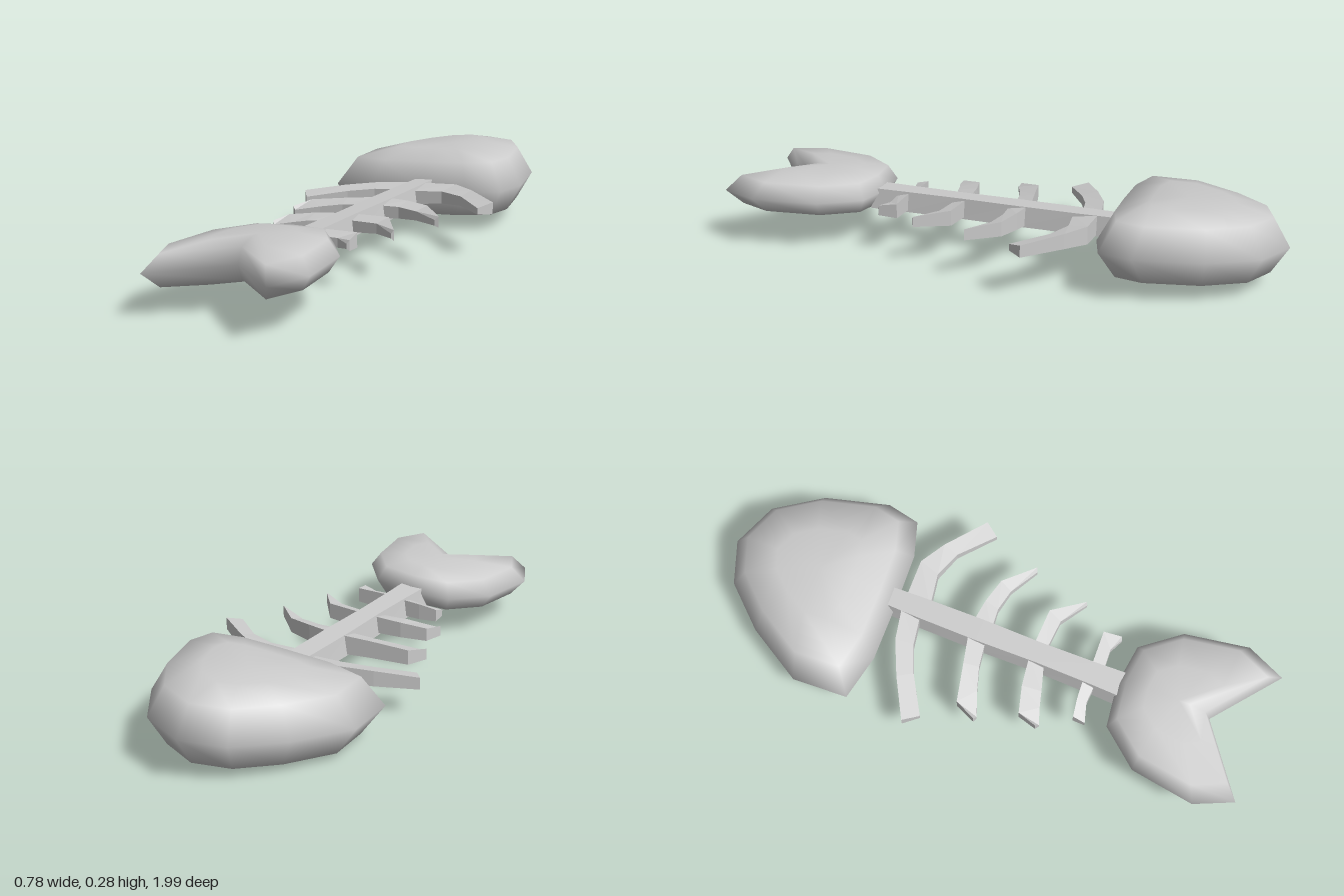
import * as THREE from 'three';

const ROLL = 0.075; // the whole skeleton leans a little to one side

// Skins a series of closed rings of [x, y, z] points and caps both ends
function loft(rings, name, flat) {
  const n = rings[0].length, pos = [], idx = [];
  const add = ([x, y, z]) => pos.push(x, y + ROLL * x, z);
  rings.forEach(r => r.forEach(add));
  for (let i = 0; i < rings.length - 1; i++) {
    for (let j = 0; j < n; j++) {
      const a = i * n + j, b = i * n + (j + 1) % n;
      idx.push(a, b, a + n, b, b + n, a + n);
    }
  }
  [0, rings.length - 1].forEach((i, end) => {
    const c = pos.length / 3;
    add([0, 1, 2].map(k => rings[i].reduce((s, p) => s + p[k], 0) / n));
    for (let j = 0; j < n; j++) {
      const a = i * n + j, b = i * n + (j + 1) % n;
      if (end) idx.push(a, b, c); else idx.push(b, a, c);
    }
  });
  const geo = new THREE.BufferGeometry();
  geo.setAttribute('position', new THREE.Float32BufferAttribute(pos, 3));
  geo.setIndex(idx);
  geo.computeVertexNormals();
  const mesh = new THREE.Mesh(geo, new THREE.MeshStandardMaterial({ color: 0xcccccc, flatShading: flat }));
  mesh.name = name;
  return mesh;
}

// Pillow-like solid: an [x, z] outline shrunk towards its centre above and below
function pillow(name, outline, [cx, cy, cz], layers) {
  return loft(layers.map(([s, h]) =>
    outline.map(([x, z]) => [cx + (x - cx) * s, cy + h, cz + (z - cz) * s])), name, false);
}

// Rib: stations of [distance from spine, back z, front z, bottom y, top y]
function rib(name, side, stations) {
  return loft(stations.map(([xb, zb, xf, zf, y0, y1]) => {
    const ring = [[side * xb, y0, zb], [side * xb, y1, zb], [side * xf, y1 - 0.012, zf], [side * xf, y0 + 0.008, zf]];
    return side > 0 ? ring : ring.reverse();
  }), name, true);
}

export function createModel() {
  const group = new THREE.Group();
  group.name = 'fishSkeleton';

  // Head
  group.add(pillow('head', [
    [0, -1], [0.16, -0.935], [0.27, -0.77], [0.33, -0.54], [0.305, -0.42], [0.18, -0.38],
    [0, -0.37], [-0.22, -0.365], [-0.385, -0.4], [-0.395, -0.6], [-0.28, -0.8], [-0.15, -0.945],
  ], [-0.03, 0.147, -0.66], [[0.45, 0.13], [0.82, 0.1], [1, 0], [0.82, -0.1], [0.45, -0.13]]));

  // Forked tail fin
  group.add(pillow('tail', [
    [0, 0.465], [0.15, 0.485], [0.255, 0.62], [0.292, 0.85], [0.23, 0.99],
    [0, 0.805], [-0.24, 0.985], [-0.3, 0.85], [-0.265, 0.62], [-0.155, 0.485],
  ], [0, 0.17, 0.66], [[0.45, 0.073], [0.85, 0.054], [1, 0], [0.85, -0.054], [0.45, -0.073]]));

  // Spine, running from inside the head to inside the tail
  const spine = [[-0.45, 0.04], [-0.28, 0.047], [-0.05, 0.05], [0.17, 0.046], [0.38, 0.05], [0.5, 0.055]];
  group.add(loft(spine.map(([z, w]) =>
    [[-w, 0.112, z], [w, 0.112, z], [w * 0.8, 0.186, z], [-w * 0.8, 0.186, z]]), 'spine', true));

  // Ribs: [back x, back z, front x, front z, bottom y, top y] from root to tip
  const leftRibs = [
    [[0.02, -0.34, 0.02, -0.25, 0.115, 0.185], [0.16, -0.343, 0.14, -0.27, 0.12, 0.185],
      [0.25, -0.29, 0.235, -0.235, 0.125, 0.18], [0.39, -0.18, 0.355, -0.13, 0.125, 0.168]],
    [[0.02, -0.085, 0.02, -0.015, 0.115, 0.185], [0.11, -0.073, 0.1, -0.022, 0.12, 0.182],
      [0.2, -0.05, 0.18, -0.005, 0.122, 0.175], [0.298, 0.05, 0.285, 0.055, 0.125, 0.165]],
    [[0.02, 0.145, 0.02, 0.19, 0.118, 0.18], [0.16, 0.15, 0.14, 0.2, 0.122, 0.178],
      [0.242, 0.26, 0.235, 0.265, 0.128, 0.165]],
    [[0.02, 0.36, 0.02, 0.405, 0.118, 0.18], [0.158, 0.355, 0.11, 0.4, 0.122, 0.175],
      [0.168, 0.42, 0.16, 0.425, 0.128, 0.165]],
  ];
  const rightRibs = [
    [[0.02, -0.34, 0.02, -0.27, 0.115, 0.185], [0.14, -0.315, 0.13, -0.25, 0.12, 0.185],
      [0.26, -0.26, 0.225, -0.21, 0.125, 0.18], [0.395, -0.185, 0.355, -0.132, 0.125, 0.168]],
    [[0.02, -0.085, 0.02, -0.02, 0.115, 0.185], [0.13, -0.06, 0.12, -0.005, 0.12, 0.182],
      [0.265, -0.03, 0.2, 0.02, 0.122, 0.175], [0.297, 0.045, 0.285, 0.053, 0.125, 0.165]],
    [[0.02, 0.145, 0.02, 0.2, 0.118, 0.18], [0.13, 0.16, 0.12, 0.23, 0.122, 0.178],
      [0.222, 0.185, 0.175, 0.245, 0.125, 0.172], [0.242, 0.255, 0.232, 0.265, 0.128, 0.165]],
    [[0.02, 0.35, 0.02, 0.395, 0.118, 0.18], [0.1, 0.355, 0.1, 0.39, 0.12, 0.178],
      [0.165, 0.365, 0.168, 0.41, 0.125, 0.17]],
  ];
  leftRibs.forEach((r, i) => group.add(rib('leftRib' + (i + 1), 1, r)));
  rightRibs.forEach((r, i) => group.add(rib('rightRib' + (i + 1), -1, r)));

  return group;
}
